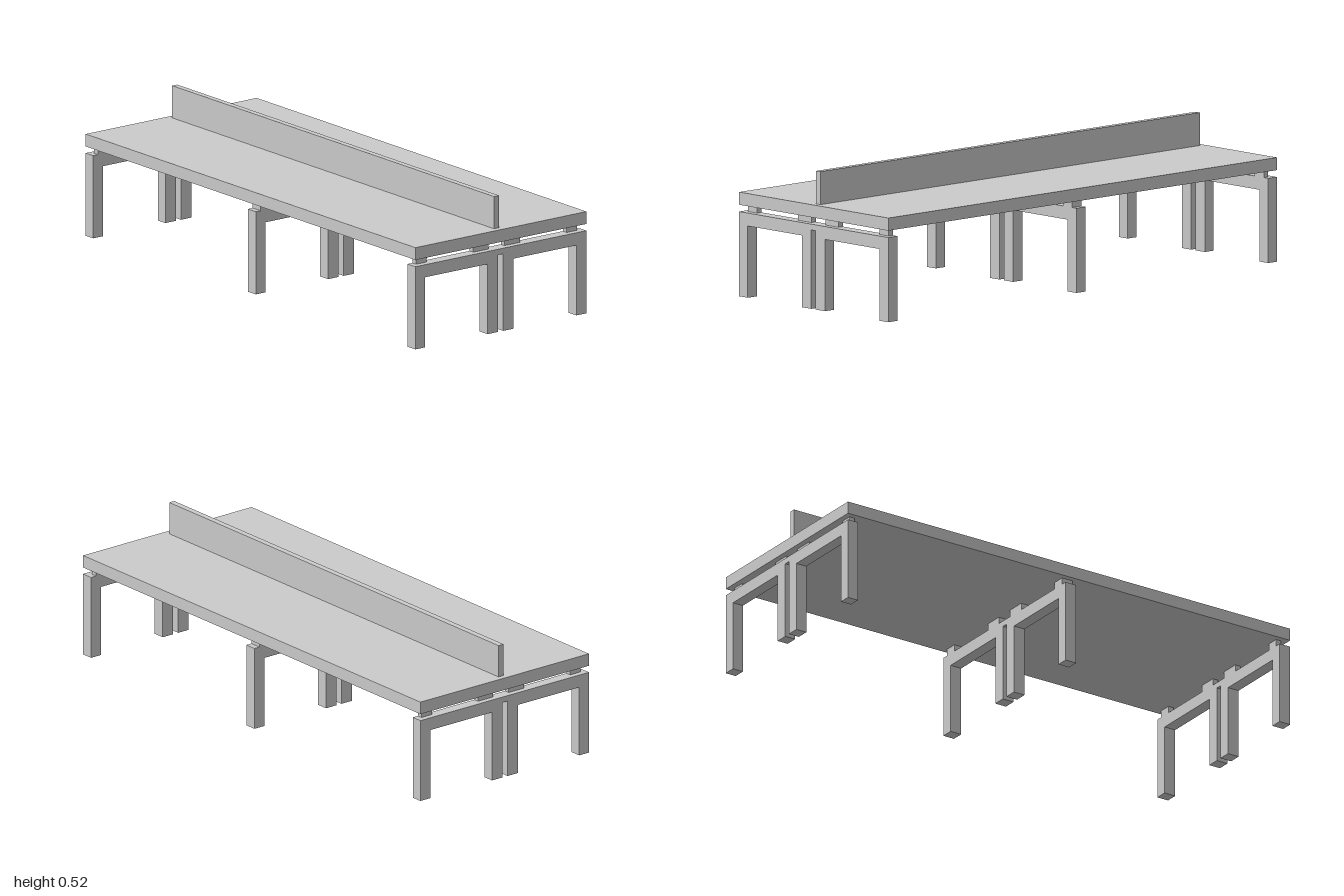
import * as THREE from 'three';

const material = new THREE.MeshStandardMaterial({ color: 0xcccccc, flatShading: true });

// Box given by its min and max on each axis
function block(name, [x0, x1], [y0, y1], [z0, z1]) {
  const mesh = new THREE.Mesh(new THREE.BoxGeometry(x1 - x0, y1 - y0, z1 - z0), material);
  mesh.position.set((x0 + x1) / 2, (y0 + y1) / 2, (z0 + z1) / 2);
  mesh.name = name;
  return mesh;
}

// Upside-down U: two legs and the beam joining them, extruded along x
function legFrame(name, [x0, x1], outer, outerIn, innerIn, inner) {
  const top = 0.321, under = 0.272;
  const points = [
    [outer, 0], [outerIn, 0], [outerIn, under], [innerIn, under],
    [innerIn, 0], [inner, 0], [inner, top], [outer, top],
  ].map(([z, y]) => new THREE.Vector2(-z, y));
  const geometry = new THREE.ExtrudeGeometry(new THREE.Shape(points), { depth: x1 - x0, bevelEnabled: false });
  geometry.rotateY(Math.PI / 2); // shape x becomes -z, depth becomes +x
  geometry.translate(x0, 0, 0);
  const mesh = new THREE.Mesh(geometry, material);
  mesh.name = name;
  return mesh;
}

export function createModel() {
  const model = new THREE.Group();
  model.name = 'benchDesk';

  // Worktop and central divider
  model.add(block('worktop', [-1, 1], [0.347, 0.395], [-0.406, 0.406]));
  model.add(block('divider', [-0.977, 0.975], [0.395, 0.52], [-0.011, 0.013]));

  // Three supports: leg extent and spacer extent along x
  const supports = [
    { name: 'rightSupport', legs: [-1, -0.955], pads: [-0.977, -0.955] },
    { name: 'middleSupport', legs: [-0.016, 0.032], pads: [-0.016, 0.032] },
    { name: 'leftSupport', legs: [0.952, 1], pads: [0.952, 0.975] },
  ];
  const padSpans = [[0.334, 0.383], [0.038, 0.112], [-0.11, -0.037], [-0.382, -0.332]];

  for (const { name, legs, pads } of supports) {
    const support = new THREE.Group();
    support.name = name;
    support.add(legFrame('frontLegFrame', legs, 0.406, 0.359, 0.063, 0.013));
    support.add(legFrame('backLegFrame', legs, -0.406, -0.358, -0.061, -0.011));
    // Short link between the two frames
    support.add(block('frameLink', legs, [0.299, 0.321], [-0.011, 0.013]));
    // Spacers holding the worktop above the frames
    for (const span of padSpans) support.add(block('spacer', pads, [0.321, 0.347], span));
    model.add(support);
  }
  return model;
}
